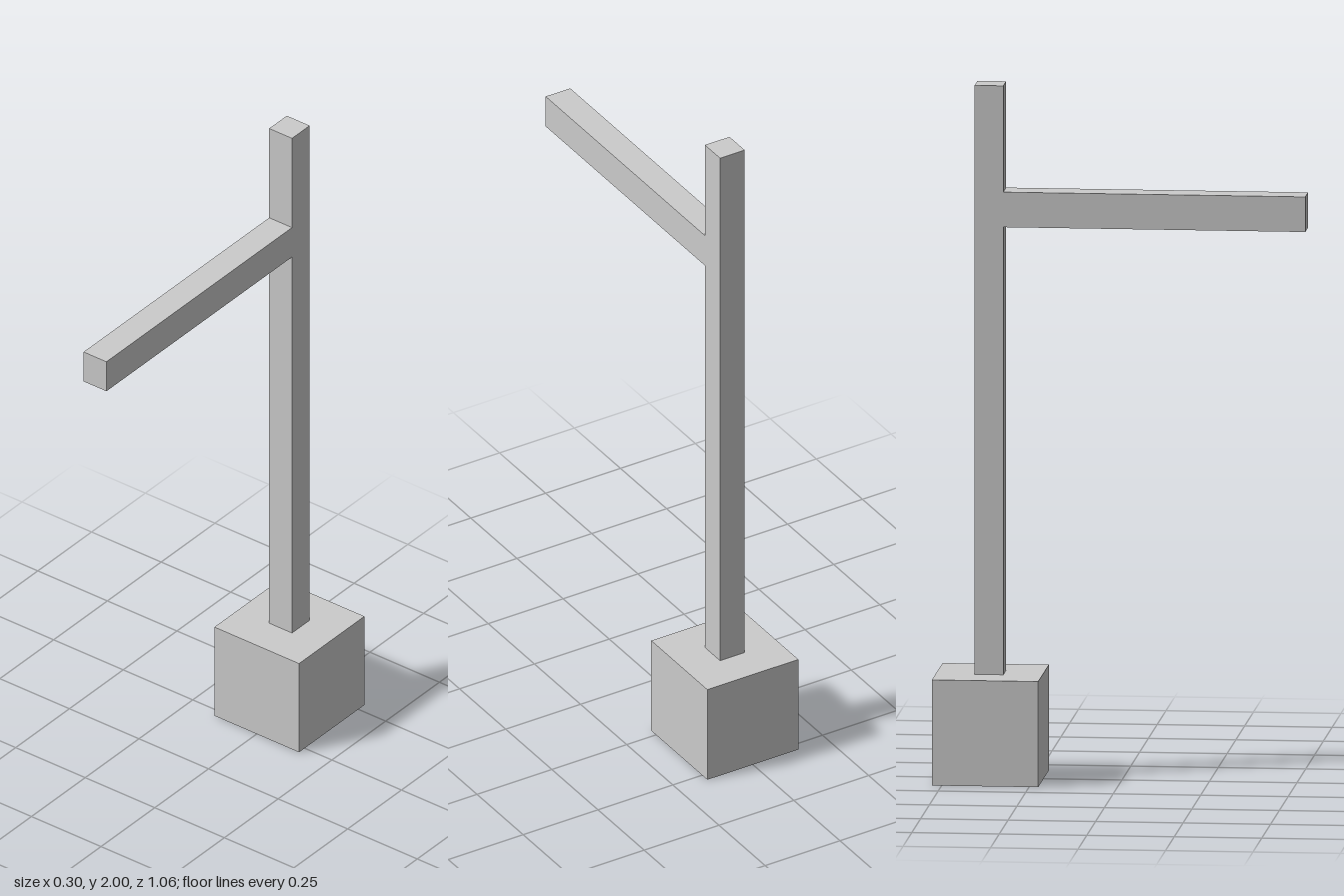
import * as THREE from 'three';

export function createModel() {
  const model = new THREE.Group();
  const material = new THREE.MeshStandardMaterial({ color: 0xcccccc, flatShading: true });

  // Box spanning the given y and z ranges, centred on x = 0
  function addBox(name, width, [y0, y1], [z0, z1]) {
    const mesh = new THREE.Mesh(new THREE.BoxGeometry(width, y1 - y0, z1 - z0), material);
    mesh.position.set(0, (y0 + y1) / 2, (z0 + z1) / 2);
    mesh.name = name;
    model.add(mesh);
  }

  const beam = 0.082; // shared width of post and arm
  const postZ = -0.376;
  const postFront = postZ + beam / 2;

  // Cube footing
  addBox('base', 0.304, [0, 0.304], [postZ - 0.152, postZ + 0.152]);
  // Upright standing on the footing
  addBox('post', beam, [0.304, 2], [postZ - beam / 2, postFront]);
  // Horizontal arm reaching forward from the post
  addBox('arm', beam, [1.593, 1.694], [postFront, 0.528]);

  return model;
}
